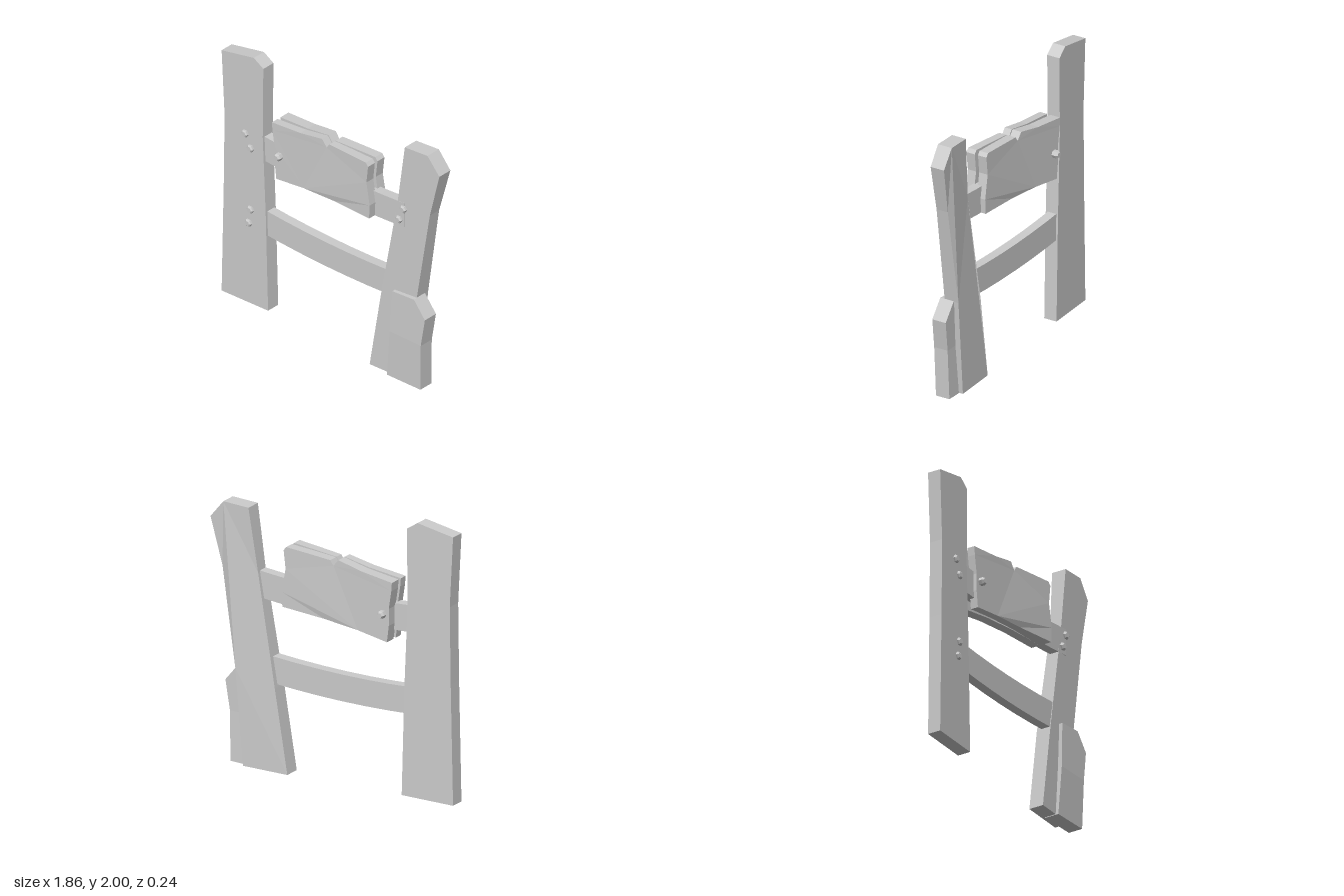
import * as THREE from 'three';

const material = new THREE.MeshStandardMaterial({ color: 0xcccccc, flatShading: true });

// Board cut from a front outline; front(x, y) and back(x, y) give the z of its two faces.
function board(name, outline, front, back) {
  const shape = new THREE.Shape(outline.map(([x, y]) => new THREE.Vector2(x, y)));
  const geometry = new THREE.ExtrudeGeometry(shape, { depth: 1, bevelEnabled: false });
  const p = geometry.attributes.position;
  for (let i = 0; i < p.count; i++) {
    const x = p.getX(i), y = p.getY(i);
    p.setZ(i, p.getZ(i) > 0.5 ? front(x, y) : back(x, y));
  }
  geometry.computeVertexNormals();
  const mesh = new THREE.Mesh(geometry, material);
  mesh.name = name;
  return mesh;
}

// Six-sided bolt head with a bevelled rim, facing +z or -z.
function bolt(name, x, y, z, height, facing = 1) {
  const profile = [[0.028, -0.02], [0.028, height * 0.6], [0.019, height], [0, height]];
  const geometry = new THREE.LatheGeometry(profile.map(([r, h]) => new THREE.Vector2(r, h)), 6);
  geometry.rotateY(Math.PI / 6);
  geometry.rotateX(facing * Math.PI / 2);
  const mesh = new THREE.Mesh(geometry, material);
  mesh.position.set(x, y, z);
  mesh.name = name;
  return mesh;
}

export function createModel() {
  const model = new THREE.Group();
  model.name = 'fenceSection';

  // Posts, each turned slightly about the vertical
  const rightPostFront = (x) => 0.104 - 0.085 * (x + 0.93);
  model.add(board('rightPost', [
    [-0.93, 0.045], [-0.54, 0.045], [-0.56, 0.8], [-0.585, 1.4], [-0.58, 1.945],
    [-0.66, 2], [-0.93, 1.95], [-0.905, 1.45], [-0.912, 0.9],
  ], rightPostFront, (x) => rightPostFront(x) - 0.098));

  // The left post is thinner around its middle
  const leftPostFront = (x) => 0.01 - 0.085 * (x - 0.63);
  const leftPostBack = (x, y) =>
    leftPostFront(x) - 0.11 + 0.025 * Math.max(0, 1 - Math.abs(y - 1.3) / 0.5);
  model.add(board('leftPost', [
    [0.345, 0.005], [0.68, 0.005], [0.74, 0.69], [0.85, 1.39], [0.93, 1.73],
    [0.83, 1.855], [0.64, 1.845], [0.58, 1.39], [0.44, 0.6],
  ], leftPostFront, leftPostBack));

  // Short brace against the foot of the left post
  const braceFront = (x, y) => 0.05 - 0.045 * (x - 0.52) - 0.008 * Math.abs(y - 0.36) / 0.36;
  model.add(board('postBrace', [
    [0.51, 0], [0.8, 0.005], [0.81, 0.36], [0.842, 0.575], [0.745, 0.695],
    [0.557, 0.683], [0.54, 0.36],
  ], braceFront, (x, y) => braceFront(x, y) - 0.107));

  // Sagging rails running into both posts
  const railMiddle = (x) => 0.022 - 0.04 * (x + 0.55) / 1.1;
  for (const [name, y, left, right] of [['lowerRail', 0.7, -0.62, 0.5], ['upperRail', 1.28, -0.64, 0.64]]) {
    const top = [], bottom = [];
    for (let i = 0; i <= 6; i++) {
      const x = left + (right - left) * i / 6;
      const sag = 0.02 * (x / 0.55) ** 2;
      top.unshift([x, y + 0.095 + sag]);
      bottom.push([x, y - 0.095 + sag]);
    }
    model.add(board(name, [...bottom, ...top],
      (x) => railMiddle(x) + 0.034, (x) => railMiddle(x) - 0.034));
  }

  // Pair of bowed, notched sign boards clamping the upper rail
  const signOutline = [
    [-0.46, 1.13], [-0.22, 1.16], [0.05, 1.178], [0.38, 1.195], [0.385, 1.3], [0.355, 1.47],
    [0.37, 1.6], [0.35, 1.625], [0.2, 1.617], [0.005, 1.605], [-0.02, 1.57], [-0.06, 1.62],
    [-0.25, 1.585], [-0.5, 1.56], [-0.495, 1.5], [-0.475, 1.37], [-0.475, 1.25],
  ];
  const bow = (x) => Math.min(1, Math.abs(x + 0.02) / 0.4);
  const gapMiddle = (x) => 0.002 - 0.012 * x;
  const gap = (x) => 0.002 + 0.011 * bow(x);
  model.add(board('frontSignBoard', signOutline,
    (x) => 0.06 + 0.017 * bow(x), (x) => gapMiddle(x) + gap(x)));
  model.add(board('backSignBoard', signOutline,
    (x) => gapMiddle(x) - gap(x), (x) => -0.068 - 0.015 * bow(x)));

  // Bolt heads on the posts
  for (const [x, y] of [[-0.73, 1.375], [-0.685, 1.275], [-0.685, 0.79], [-0.7, 0.68]]) {
    model.add(bolt('rightPostBolt', x, y, rightPostFront(x), 0.02));
  }
  for (const [x, y] of [[0.632, 1.355], [0.595, 1.26]]) {
    model.add(bolt('leftPostBolt', x, y, leftPostFront(x), 0.022));
  }

  // Bolt through the sign boards
  model.add(bolt('signBoltFront', -0.428, 1.325, 0.077, 0.04));
  model.add(bolt('signBoltBack', -0.428, 1.325, -0.083, 0.042, -1));

  return model;
}
